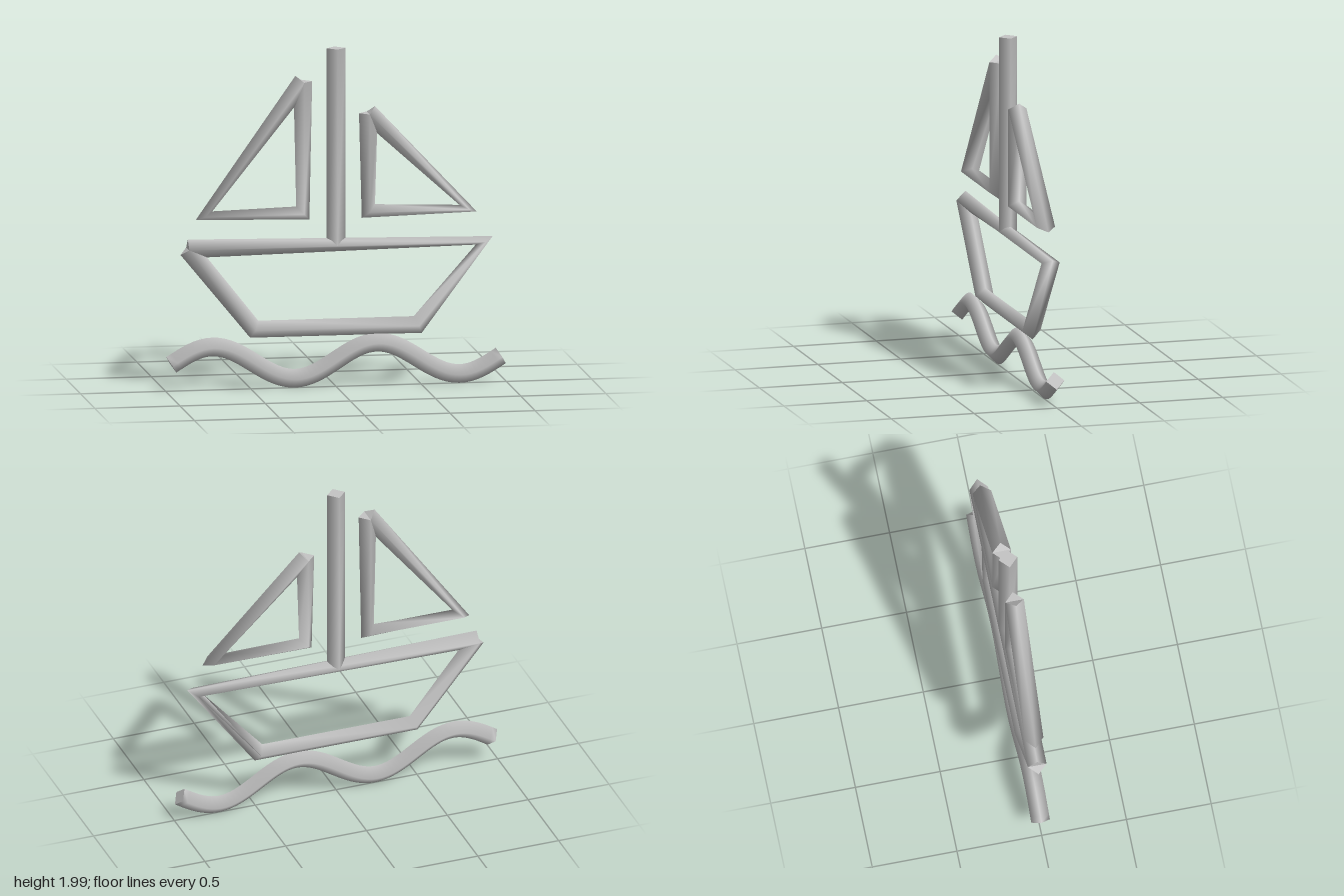
import * as THREE from 'three';

const RADIUS = 0.055;
const SIDES = 4;

// Sweeps a diamond section along a path in the xy plane; corners use the mean direction, unscaled.
function sweep(points) {
  const last = points.length - 1;
  const dirs = points.slice(1).map((p, i) => p.clone().sub(points[i]).normalize());
  const rings = points.map((p, i) => {
    const t = dirs[Math.max(i - 1, 0)].clone().add(dirs[Math.min(i, last - 1)]).normalize();
    return Array.from({ length: SIDES }, (_, k) => {
      const a = (k / SIDES) * Math.PI * 2;
      const r = Math.cos(a) * RADIUS;
      return [p.x - t.y * r, p.y + t.x * r, Math.sin(a) * RADIUS];
    });
  });

  const position = rings.flat(2);
  const index = [];
  for (let i = 0; i < last; i++) {
    for (let k = 0; k < SIDES; k++) {
      const a = i * SIDES + k;
      const b = i * SIDES + ((k + 1) % SIDES);
      index.push(a, b, b + SIDES, a, b + SIDES, a + SIDES);
    }
  }
  // Flat end caps with their own vertices
  const s = position.length / 3;
  position.push(...rings[0].flat(), ...rings[last].flat());
  const e = s + SIDES;
  index.push(s, s + 2, s + 1, s, s + 3, s + 2, e, e + 1, e + 2, e, e + 2, e + 3);

  const geometry = new THREE.BufferGeometry();
  geometry.setAttribute('position', new THREE.Float32BufferAttribute(position, 3));
  geometry.setIndex(index);
  geometry.computeVertexNormals();
  return geometry;
}

export function createModel() {
  const model = new THREE.Group();
  model.name = 'sailboat';
  const grey = new THREE.MeshStandardMaterial({ color: 0xc4c4c4 });
  grey.name = 'light grey';

  const addBar = (name, coords) => {
    const mesh = new THREE.Mesh(sweep(coords.map(([x, y]) => new THREE.Vector2(x, y))), grey);
    mesh.name = name;
    model.add(mesh);
  };

  // Hull outline, starting and ending at the upper corner
  addBar('hull', [[-0.87, 0.835], [0.87, 0.835], [0.48, 0.352], [-0.48, 0.352], [-0.87, 0.835]]);

  addBar('mast', [[0, 0.835], [0, 1.99]]);

  // Sail outlines, starting and ending at the peak
  addBar('tallSail', [[-0.195, 1.8], [-0.195, 1.027], [-0.775, 1.027], [-0.195, 1.8]]);
  addBar('shortSail', [[0.19, 1.603], [0.19, 1.027], [0.775, 1.027], [0.19, 1.603]]);

  // Two full periods of a wave below the hull
  const halfWidth = 0.967;
  const steps = 64;
  addBar('wave', Array.from({ length: steps + 1 }, (_, i) => {
    const u = i / steps;
    return [(u * 2 - 1) * halfWidth, 0.156 + 0.099 * Math.sin(u * Math.PI * 4)];
  }));

  return model;
}
